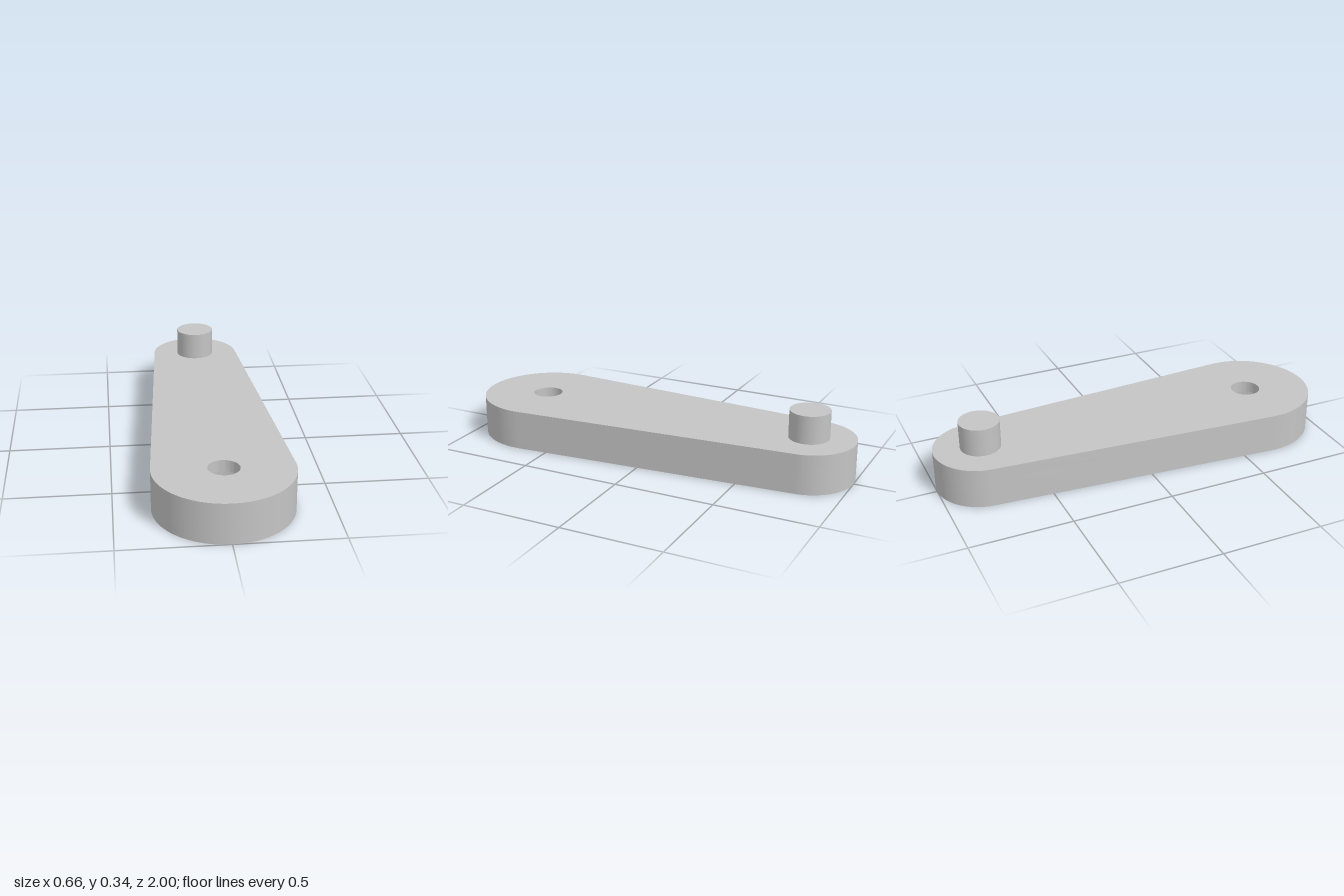
import * as THREE from 'three';
import { toCreasedNormals } from 'three/addons/utils/BufferGeometryUtils.js';

const THICK = 0.197, BORE_DEPTH = 0.14;
const BIG = { z: 0.672, r: 0.328 };
const SMALL = { z: -0.772, r: 0.228 };

// Tapered outline: two end arcs joined by their common tangents, with one round hole
function armShape(holeRadius) {
  const tilt = Math.asin((BIG.r - SMALL.r) / (BIG.z - SMALL.z));
  const shape = new THREE.Shape();
  shape.absarc(0, -SMALL.z, SMALL.r, tilt, Math.PI - tilt, false);
  shape.absarc(0, -BIG.z, BIG.r, Math.PI - tilt, 2 * Math.PI + tilt, false);
  shape.closePath();
  const hole = new THREE.Path();
  hole.absarc(0, -BIG.z, holeRadius, 0, Math.PI * 2, true);
  shape.holes.push(hole);
  return shape;
}

export function createModel() {
  const model = new THREE.Group();
  model.name = 'crankArm';
  const metal = new THREE.MeshStandardMaterial({ color: 0xc4c4c4 });
  metal.name = 'greyMetal';

  const addLayer = (name, holeRadius, y0, y1) => {
    const geo = new THREE.ExtrudeGeometry(armShape(holeRadius), {
      depth: y1 - y0, bevelEnabled: false, curveSegments: 48,
    });
    geo.rotateX(-Math.PI / 2);
    const mesh = new THREE.Mesh(toCreasedNormals(geo, 0.5), metal);
    mesh.name = name;
    mesh.position.y = y0;
    model.add(mesh);
  };

  // Arm body: wide counterbore below, narrow shaft hole above
  addLayer('armLower', 0.148, 0, BORE_DEPTH);
  addLayer('armUpper', 0.074, BORE_DEPTH, THICK);

  // Upright pin on the narrow end
  const pinHeight = 0.138;
  const pin = new THREE.Mesh(new THREE.CylinderGeometry(0.098, 0.098, pinHeight, 64), metal);
  pin.name = 'crankPin';
  pin.position.set(0, THICK + pinHeight / 2, SMALL.z);
  model.add(pin);

  return model;
}
